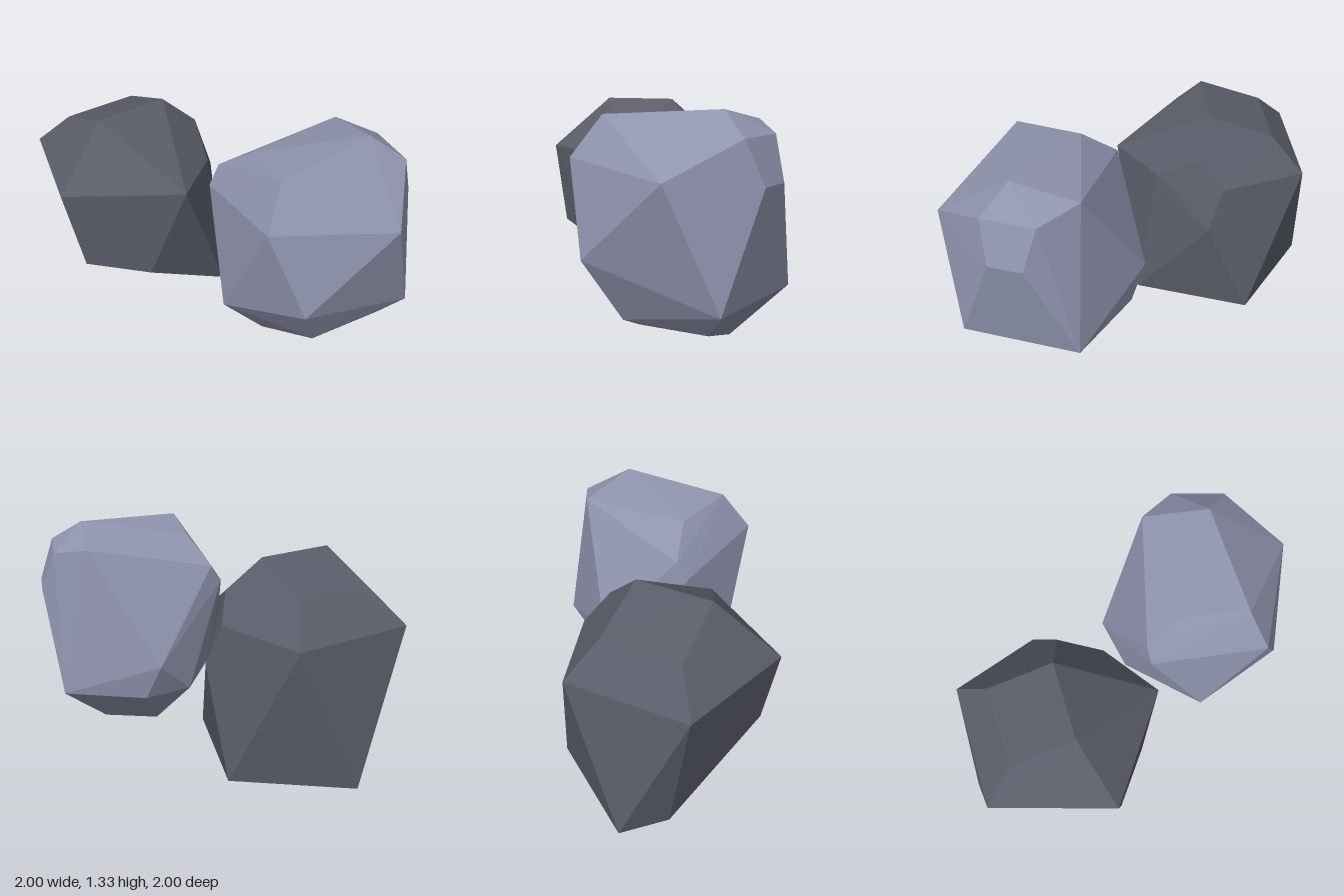
import * as THREE from 'three';
import { ConvexGeometry } from 'three/addons/geometries/ConvexGeometry.js';

// A faceted boulder: the convex hull of its corner points
function boulder(name, color, corners) {
  const points = corners.map(([x, y, z]) => new THREE.Vector3(x, y, z));
  const material = new THREE.MeshStandardMaterial({ color, flatShading: true });
  const mesh = new THREE.Mesh(new ConvexGeometry(points), material);
  mesh.name = name;
  return mesh;
}

export function createModel() {
  const group = new THREE.Group();
  group.name = 'boulders';

  group.add(boulder('darkBackBoulder', 0x5a5d69, [
    // sloping top facet
    [-0.69, 1.305, -0.26], [-0.25, 1.305, -0.40], [-0.36, 1.17, -0.78], [-0.81, 1.17, -0.63],
    // shoulder ring
    [-1, 0.97, -0.03], [-0.30, 0.97, 0.20], [-0.05, 0.97, -0.13], [-0.04, 1.12, -0.40],
    [0.02, 0.97, -0.56], [-0.30, 0.97, -1], [-1, 0.97, -0.77],
    // side point and the undercut front
    [0.10, 0.71, -0.50], [-0.90, 0.45, -0.02], [-0.52, 0.37, 0.11],
    // flat base
    [0.02, 0.07, -0.03], [0.02, 0.07, -0.77], [-0.69, 0.07, -1], [-0.83, 0.07, -0.73],
  ]));

  group.add(boulder('lightFrontBoulder', 0x8f93ad, [
    // top facet
    [0.72, 1.325, 0.50], [0.71, 1.25, 0.10], [0.05, 1.25, 0.32], [0.07, 1.285, 0.72],
    // left side facets
    [0.91, 1.19, 0.28], [0.91, 1.19, 0.61], [1, 0.94, 0.345], [1, 0.94, 0.55],
    [0.91, 0.30, 0.82], [0.91, 0.30, 0.08],
    // front points
    [0.67, 0.99, 1], [0.13, 0.52, 0.99], [-0.06, 1.05, 0.85],
    // right side and back points
    [-0.18, 0.33, 0.51], [-0.14, 0.98, 0.16], [-0.07, 1.09, 0.13],
    [0.31, 0.54, -0.155], [0.40, 0.30, -0.09], [0.10, 0.30, 0],
    // bevelled base
    [0.28, 0.17, 0.82], [0.78, 0.155, 0.73], [0.64, 0, 0.28], [0.30, 0, 0.18], [0.11, 0, 0.45],
  ]));

  return group;
}
